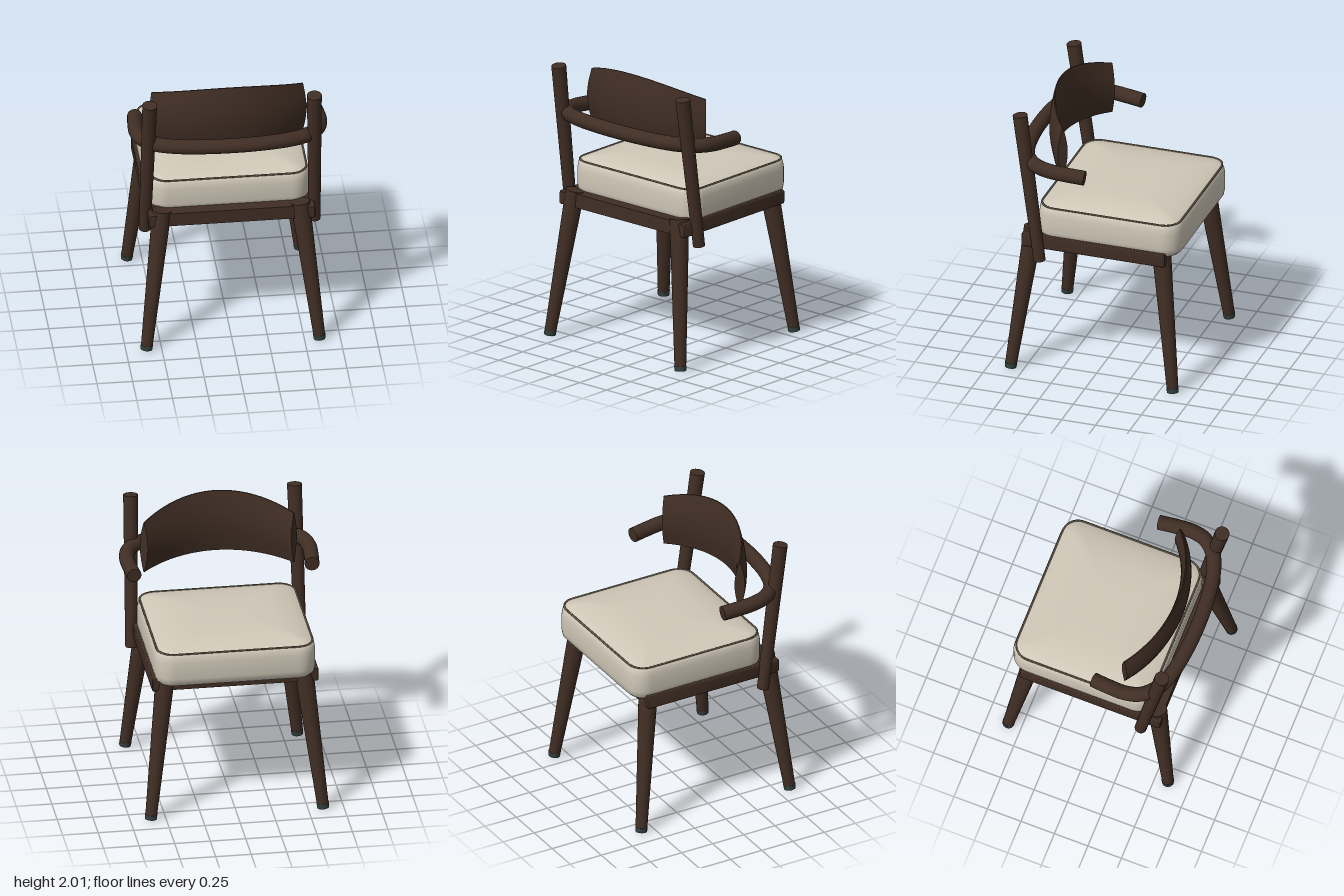
import * as THREE from 'three';
import { toCreasedNormals } from 'three/addons/utils/BufferGeometryUtils.js';

const material = (name, color) => {
  const m = new THREE.MeshStandardMaterial({ color });
  m.name = name;
  return m;
};

// Skin a list of closed rings and cap both ends.
function loft(rings, crease) {
  const n = rings[0].length, pos = [], index = [];
  rings.forEach(r => r.forEach(p => pos.push(p.x, p.y, p.z)));
  for (let i = 0; i < rings.length - 1; i++) {
    for (let j = 0; j < n; j++) {
      const k = (j + 1) % n;
      const a = i * n + j, b = i * n + k, c = b + n, d = a + n;
      index.push(a, d, b, b, d, c);
    }
  }
  [0, rings.length - 1].forEach((i, last) => {
    const mid = new THREE.Vector3();
    rings[i].forEach(p => mid.addScaledVector(p, 1 / n));
    const m = pos.length / 3;
    pos.push(mid.x, mid.y, mid.z);
    for (let j = 0; j < n; j++) {
      const a = i * n + j, b = i * n + (j + 1) % n;
      index.push(m, ...(last ? [b, a] : [a, b]));
    }
  });
  const g = new THREE.BufferGeometry();
  g.setAttribute('position', new THREE.Float32BufferAttribute(pos, 3));
  g.setIndex(index);
  return toCreasedNormals(g, crease);
}

// Rounded rectangle lying flat at height y.
function roundedRing(hw, hd, r, y, cz) {
  const pts = [];
  for (let q = 0; q < 4; q++) {
    const sx = q === 0 || q === 3 ? 1 : -1, sz = q < 2 ? 1 : -1;
    for (let s = 0; s <= 8; s++) {
      const a = (q + s / 8) * Math.PI / 2;
      pts.push(new THREE.Vector3(sx * (hw - r) + r * Math.cos(a), y, cz + sz * (hd - r) + r * Math.sin(a)));
    }
  }
  return pts;
}

export function createModel() {
  const model = new THREE.Group();
  model.name = 'armchair';
  const wood = material('dark wood', 0x402e24);
  const fabric = material('cream upholstery', 0xd0c8b8);
  const piping = material('piping', 0x655a48);
  const rubber = material('foot cap', 0x33403e);

  const add = (name, geometry, mat) => {
    const mesh = new THREE.Mesh(geometry, mat);
    mesh.name = name;
    model.add(mesh);
    return mesh;
  };
  // Tapered round bar from a to b.
  const bar = (name, a, b, ra, rb, mat) => {
    const dir = b.clone().sub(a);
    const mesh = add(name, new THREE.CylinderGeometry(rb, ra, dir.length(), 24), mat);
    mesh.position.copy(a).add(b).multiplyScalar(0.5);
    mesh.quaternion.setFromUnitVectors(new THREE.Vector3(0, 1, 0), dir.normalize());
  };
  const V = (x, y, z) => new THREE.Vector3(x, y, z);

  for (const s of [1, -1]) {
    const side = s > 0 ? 'left' : 'right';
    // Splayed legs with foot caps
    for (const f of [1, -1]) {
      const place = side + (f > 0 ? 'Back' : 'Front');
      bar(place + 'Leg', V(s * 0.603, 0.03, f * 0.593), V(s * 0.483, 1.055, f * 0.468), 0.041, 0.068, wood);
      bar(place + 'FootCap', V(s * 0.606, 0, f * 0.596), V(s * 0.603, 0.034, f * 0.593), 0.041, 0.043, rubber);
    }
    // Leaning back post
    bar(side + 'BackPost', V(s * 0.594, 0.86, 0.387), V(s * 0.576, 1.96, 0.537), 0.042, 0.052, wood);
    // Side rail of the seat frame
    const rail = loft([-0.525, -0.515, 0.515, 0.525].map((z, i) =>
      roundedRing(i % 3 ? 0.035 : 0.029, i % 3 ? 0.05 : 0.044, 0.012, z, 0)), 0.6);
    rail.rotateX(Math.PI / 2);
    add(side + 'SeatRail', rail, wood).position.set(s * 0.55, 0.993, 0);
  }

  // Seat base between the rails
  add('seatBase', new THREE.BoxGeometry(1.07, 0.1, 1.03), wood).position.set(0, 0.994, 0);

  // Cushion: height and inset of each level, domed on top
  const cz = -0.09;
  const levels = [[1.0, 0.06], [1.008, 0.03], [1.03, 0.008], [1.07, 0], [1.19, 0], [1.23, 0.006],
    [1.25, 0.016], [1.258, 0.03], [1.272, 0.08], [1.288, 0.15], [1.298, 0.25], [1.302, 0.4]];
  add('cushion', loft(levels.map(([y, d]) =>
    roundedRing(0.565 - d, 0.525 - d, Math.max(0.13 - d, 0.04), y, cz)), 0.9), fabric);

  // Piping around the top of the cushion
  const seam = new THREE.CurvePath();
  const loop = roundedRing(0.548, 0.508, 0.115, 1.255, cz);
  loop.forEach((p, i) => seam.add(new THREE.LineCurve3(p, loop[(i + 1) % loop.length])));
  add('cushionPiping', new THREE.TubeGeometry(seam, 160, 0.007, 6, true), piping);

  // Bent arm rail, sloping down toward the front
  const half = [[0.625, 0.045], [0.638, 0.17], [0.642, 0.29], [0.615, 0.395], [0.53, 0.487], [0.4, 0.541], [0.2, 0.573]];
  const railPoint = (x, z) => V(x, 1.568 + 0.083 * z, z);
  const path = new THREE.CatmullRomCurve3([
    ...half.map(([x, z]) => railPoint(x, z)), railPoint(0, 0.582),
    ...half.slice().reverse().map(([x, z]) => railPoint(-x, z))]);
  add('armRail', new THREE.TubeGeometry(path, 80, 0.052, 20, false), wood);
  for (const s of [1, -1]) {
    const end = add(s > 0 ? 'leftArmEnd' : 'rightArmEnd', new THREE.CircleGeometry(0.052, 20), wood);
    end.position.copy(railPoint(s * 0.625, 0.045));
    const t = path.getTangent(s > 0 ? 0 : 1).multiplyScalar(-s);
    end.lookAt(end.position.clone().add(t));
  }

  // Curved backrest with a lens-shaped section and arched top
  const R = 0.813, rings = [];
  for (let i = 0; i <= 32; i++) {
    const a = 0.707 * (i / 16 - 1);
    const arch = 1 - (R * Math.sin(a) / 0.528) ** 2;
    const low = 1.5 + 0.04 * arch, high = 1.88 + 0.12 * arch;
    const ring = [];
    for (const face of [1, -1]) {
      for (let k = 0; k <= 10; k++) {
        const t = face > 0 ? k / 10 : 1 - k / 10;
        const r = R + face * (0.004 + 0.033 * Math.sin(Math.PI * t));
        ring.push(V(r * Math.sin(a), low + (high - low) * t, -0.379 + r * Math.cos(a)));
      }
    }
    rings.push(ring);
  }
  add('backrest', loft(rings, 0.6), wood);

  return model;
}
